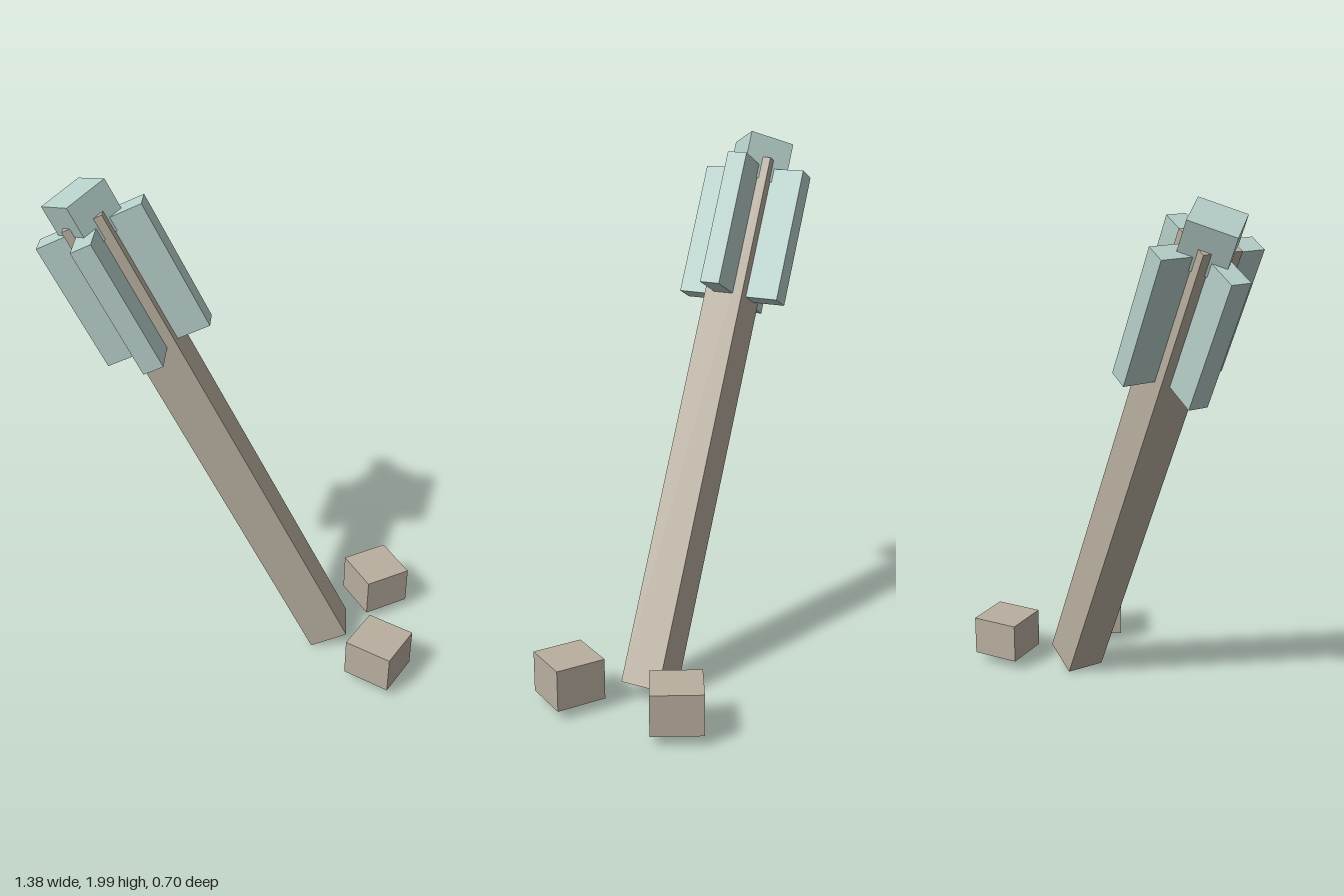
import * as THREE from 'three';

export function createModel() {
  const model = new THREE.Group();
  model.name = 'leaningPost';

  const tan = new THREE.MeshStandardMaterial({ color: 0xb9af9f });
  tan.name = 'tan wood';
  const mint = new THREE.MeshStandardMaterial({ color: 0xb7d0ca });
  mint.name = 'pale mint';

  const addBox = (parent, name, [w, h, d], [x, y, z], material, turn = 0) => {
    const mesh = new THREE.Mesh(new THREE.BoxGeometry(w, h, d), material);
    mesh.name = name;
    mesh.position.set(x, y, z);
    mesh.rotation.y = turn;
    parent.add(mesh);
    return mesh;
  };

  // Tilted shaft with its head; local y runs along the shaft
  const shaft = new THREE.Group();
  shaft.name = 'tiltedShaft';
  shaft.position.set(0.368, 0.037, 0);
  shaft.rotation.z = 0.453;
  model.add(shaft);

  addBox(shaft, 'post', [0.155, 2.035, 0.155], [0, 1.0175, 0], tan);

  // Two crossed slabs form four fins around the upper post
  addBox(shaft, 'sideFins', [0.41, 0.51, 0.078], [0, 1.748, 0], mint);
  addBox(shaft, 'frontBackFins', [0.078, 0.51, 0.41], [0, 1.748, 0], mint);

  // Cap cube, turned an eighth of a turn on the shaft
  addBox(shaft, 'cap', [0.174, 0.17, 0.174], [0, 2.035, 0], mint, Math.PI / 4);

  // Pair of loose blocks beside the foot, mirrored front to back
  for (const side of [1, -1]) {
    addBox(model, side > 0 ? 'frontBlock' : 'backBlock', [0.19, 0.155, 0.19],
      [0.56, 0.118, side * 0.222], tan, -side * Math.PI / 6);
  }

  return model;
}
